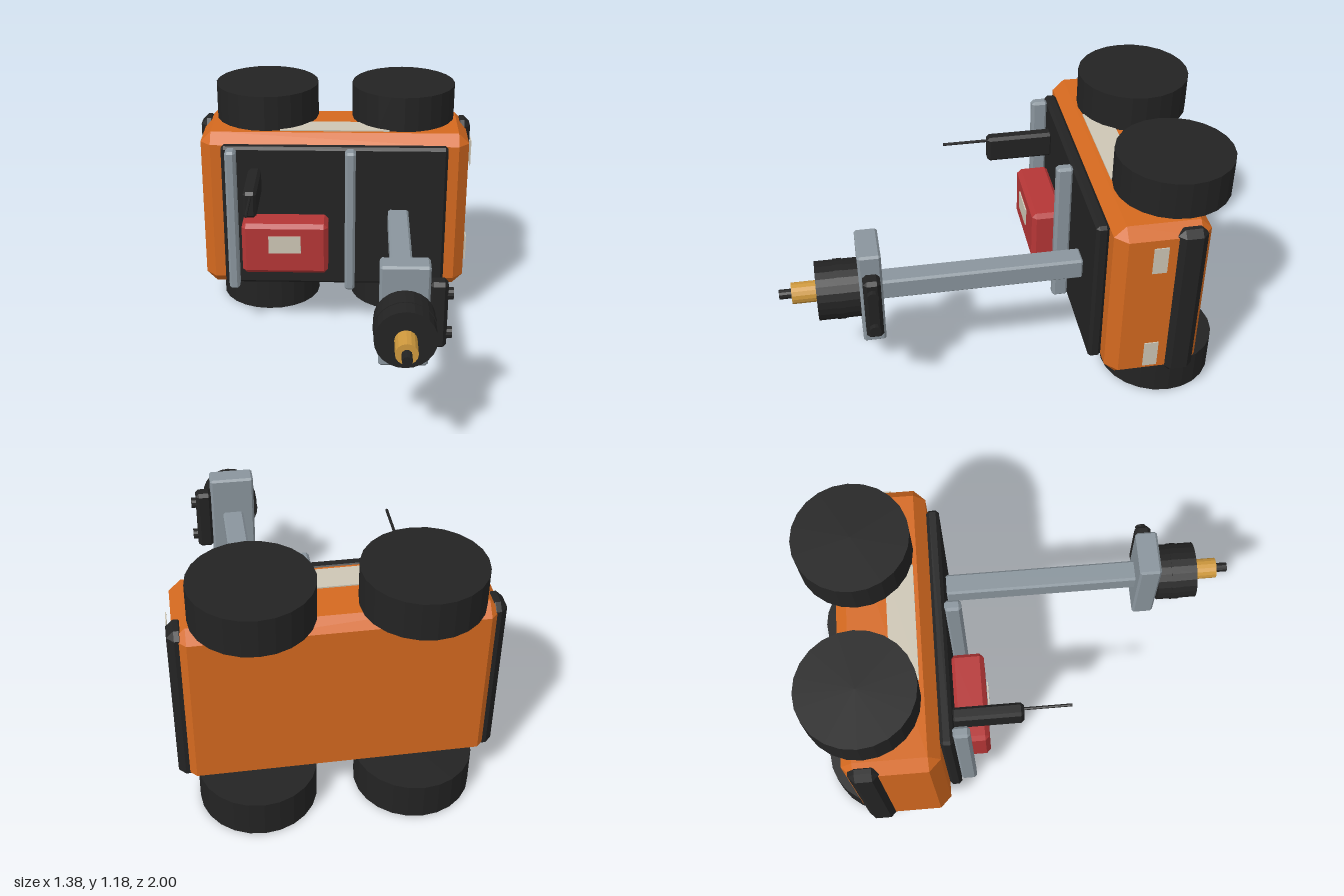
import * as THREE from 'three';
import { ConvexGeometry } from 'three/addons/geometries/ConvexGeometry.js';

const mat = (name, color) => {
  const m = new THREE.MeshStandardMaterial({ color, flatShading: true });
  m.name = name;
  return m;
};

// Box with all edges cut at 45 degrees, given by its min and max on each axis
function chamferBox([x0, x1], [y0, y1], [z0, z1], c) {
  const h = [(x1 - x0) / 2, (y1 - y0) / 2, (z1 - z0) / 2];
  const points = [];
  for (const sx of [-1, 1]) for (const sy of [-1, 1]) for (const sz of [-1, 1]) {
    for (let k = 0; k < 3; k++) {
      const p = h.map((v, i) => (i === k ? v : v - c));
      points.push(new THREE.Vector3(p[0] * sx, p[1] * sy, p[2] * sz));
    }
  }
  return new ConvexGeometry(points).translate((x0 + x1) / 2, (y0 + y1) / 2, (z0 + z1) / 2);
}

function plainBox([x0, x1], [y0, y1], [z0, z1]) {
  return new THREE.BoxGeometry(x1 - x0, y1 - y0, z1 - z0)
    .translate((x0 + x1) / 2, (y0 + y1) / 2, (z0 + z1) / 2);
}

// Cylinder along z
function rod(x, y, z0, z1, r, sides) {
  return new THREE.CylinderGeometry(r, r, z1 - z0, sides)
    .rotateX(Math.PI / 2).translate(x, y, (z0 + z1) / 2);
}

export function createModel() {
  const group = new THREE.Group();
  const orange = mat('orange paint', 0xd4691f);
  const black = mat('black rubber', 0x232323);
  const grey = mat('grey metal', 0x8a959d);
  const red = mat('red case', 0xb53636);
  const gold = mat('brass', 0xcf993d);
  const beige = mat('beige label', 0xcdc6b5);
  const add = (name, geometry, material) => {
    const mesh = new THREE.Mesh(geometry, material);
    mesh.name = name;
    group.add(mesh);
  };

  // Body and deck
  add('body', chamferBox([-0.67, 0.664], [0.175, 1.002], [-0.84, -0.415], 0.052), orange);
  add('deck', chamferBox([-0.56, 0.556], [0.217, 0.962], [-0.415, -0.357], 0.014), black);

  // Wheels on both long sides
  for (const x of [-0.35, 0.343]) for (const y of [0.0875, 1.09]) {
    add('wheel', new THREE.CylinderGeometry(0.26, 0.26, 0.175, 24).translate(x, y, -0.74), black);
  }

  // End bumpers
  for (const s of [-1, 1]) {
    const a = 0.61 * s - 0.003, b = 0.691 * s - 0.003;
    add('bumper', chamferBox([Math.min(a, b), Math.max(a, b)], [0.19, 0.987], [-0.812, -0.678], 0.03), black);
  }

  // Pale side strips and end markers
  for (const y of [0.172, 1.005]) {
    add('sideStrip', plainBox([-0.275, 0.268], [y - 0.003, y + 0.003], [-0.61, -0.485]), beige);
  }
  for (const y of [0.325, 0.857]) {
    add('endMarker', plainBox([0.681, 0.686], [y - 0.066, y + 0.066], [-0.637, -0.573]), beige);
  }

  // Deck rails
  for (const x of [-0.508, 0.078]) {
    add('rail', chamferBox([x - 0.026, x + 0.026], [0.217, 0.962], [-0.36, -0.284], 0.012), grey);
  }

  // Equipment case with label
  add('case', chamferBox([-0.455, -0.03], [0.348, 0.614], [-0.362, -0.205], 0.02), red);
  add('caseLabel', plainBox([-0.322, -0.163], [0.468, 0.558], [-0.2, -0.194]), beige);

  // Radio and antenna
  add('radio', chamferBox([-0.426, -0.362], [0.724, 0.855], [-0.365, -0.042], 0.014), black);
  add('antenna', rod(-0.39, 0.832, -0.045, 0.172, 0.007, 8), black);

  // Mast and tool head
  const x = 0.317, y = 0.589;
  add('mast', chamferBox([x - 0.051, x + 0.051], [y - 0.051, y + 0.051], [-0.36, 0.56], 0.01), grey);
  add('headBlock', chamferBox([0.21, 0.424], [0.35, 0.828], [0.548, 0.65], 0.01), grey);
  add('drum', rod(x, y, 0.65, 0.836, 0.132, 24), black);
  add('drumRing', rod(x, y, 0.715, 0.755, 0.135, 24), black);
  add('nozzle', rod(x, y, 0.836, 0.945, 0.048, 16), gold);
  add('nozzleTip', rod(x, y, 0.945, 1.0, 0.022, 12), black);

  // Camera bar with two lenses
  add('cameraBar', chamferBox([0.42, 0.5], [0.43, 0.745], [0.56, 0.636], 0.016), black);
  for (const ly of [0.493, 0.682]) {
    add('lens', new THREE.CylinderGeometry(0.026, 0.026, 0.03, 12)
      .rotateZ(Math.PI / 2).translate(0.508, ly, 0.598), black);
  }
  return group;
}
